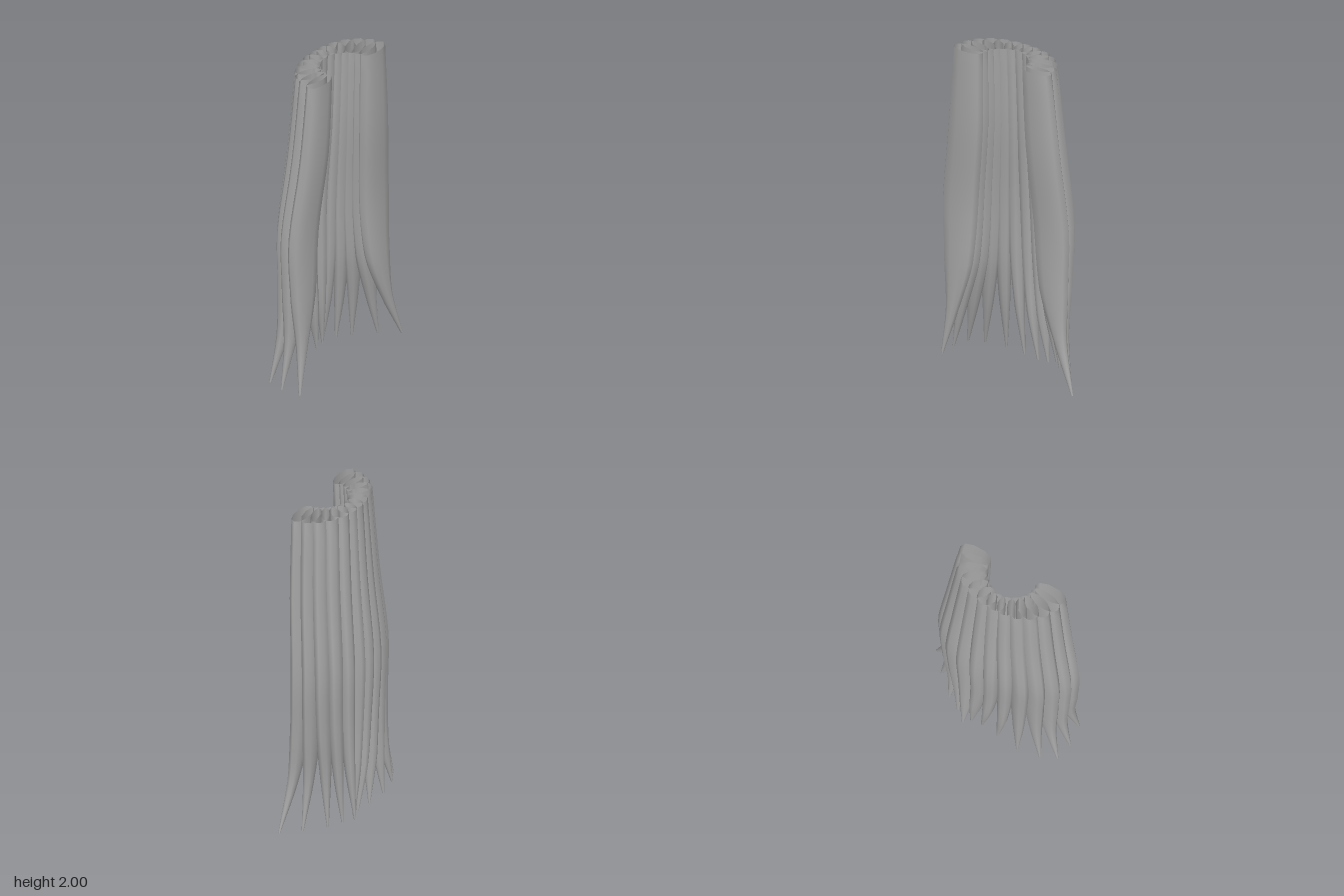
import * as THREE from 'three';

const SIDES = 10, RINGS = 20;

// Arch levels: height, centre x, centre z, outer radii x/z, inner radii x/z, half thickness
const ARCH = [
  [2.0, -0.025, 0.14, 0.35, 0.252, 0.145, 0.145, 0.056],
  [1.5, -0.025, 0.125, 0.40, 0.27, 0.155, 0.155, 0.054],
  [1.0, -0.035, 0.095, 0.455, 0.277, 0.20, 0.165, 0.05],
];
// Lock tips on the ground (x, z), running round the arch from right to left
const TIPS = [
  [-0.46, 0.145], [-0.47, 0.02], [-0.445, -0.085], [-0.355, -0.13], [-0.215, -0.15],
  [-0.075, -0.135], [0.035, -0.12], [0.10, -0.13], [0.14, -0.16], [0.20, -0.11],
  [0.285, -0.06], [0.395, 0.045], [0.485, 0.15],
];

// Key sections of one lock: centre plus half width (radial) and half thickness
function lockKeys(i) {
  const a = Math.PI * i / (TIPS.length - 1);
  const c = -Math.cos(a), s = -Math.sin(a);
  const front = Math.pow(Math.abs(c), 12); // 1 at both ends of the arch
  const keys = ARCH.map(([y, cx, cz, RX, RZ, rx, rz, t]) => {
    const outer = new THREE.Vector3(cx + RX * c, y, cz + RZ * s);
    const inner = new THREE.Vector3(cx + rx * c, y, cz + rz * s);
    return {
      p: outer.clone().lerp(inner, 0.5),
      u: outer.clone().sub(inner).normalize(),
      w: outer.distanceTo(inner) / 2,
      t: t + (0.046 - t) * front,
    };
  });
  const mid = keys[2], tip = new THREE.Vector3(TIPS[i][0], 0, TIPS[i][1]);
  const below = (y, k, w, t) => {
    const p = mid.p.clone().lerp(tip, k);
    p.y = y;
    keys.push({ p, u: mid.u, w, t });
  };
  below(0.6, 0.12, mid.w * 0.8, 0.043);
  below(0.3, 0.44, 0.042, 0.03);
  below(0, 1, 0.006, 0.006);
  return keys;
}

// Rounded, slightly boxy oval
const boxy = x => Math.sign(x) * Math.pow(Math.abs(x), 0.9);

// Loft flattened oval sections from the open top of a lock to its tip
function lockGeometry(i) {
  const keys = lockKeys(i);
  const path = new THREE.CatmullRomCurve3(keys.map(k => k.p));
  const size = new THREE.CatmullRomCurve3(keys.map(k => new THREE.Vector3(k.w, k.t, 0)));
  const turn = new THREE.CatmullRomCurve3(keys.map(k => k.u));
  const pos = [], index = [];
  for (let j = 0; j <= RINGS; j++) {
    const f = j / RINGS;
    const p = path.getPoint(f), r = size.getPoint(f), u = turn.getPoint(f).normalize();
    for (let k = 0; k < SIDES; k++) {
      const q = 2 * Math.PI * k / SIDES;
      const x = boxy(Math.cos(q)) * r.x, z = boxy(Math.sin(q)) * r.y;
      pos.push(p.x + u.x * x - u.z * z, p.y, p.z + u.z * x + u.x * z);
      if (j === RINGS) continue;
      const a = j * SIDES + k, b = j * SIDES + (k + 1) % SIDES;
      index.push(a, b, a + SIDES, b, b + SIDES, a + SIDES);
    }
  }
  const g = new THREE.BufferGeometry();
  g.setAttribute('position', new THREE.Float32BufferAttribute(pos, 3));
  g.setIndex(index);
  g.computeVertexNormals();
  return g;
}

export function createModel() {
  const model = new THREE.Group();
  model.name = 'hair';
  const grey = new THREE.MeshStandardMaterial({ color: 0xa6a6a6, side: THREE.DoubleSide });
  grey.name = 'grey';
  TIPS.forEach((_, i) => {
    const lock = new THREE.Mesh(lockGeometry(i), grey);
    lock.name = 'hairLock' + (i + 1);
    model.add(lock);
  });
  return model;
}
